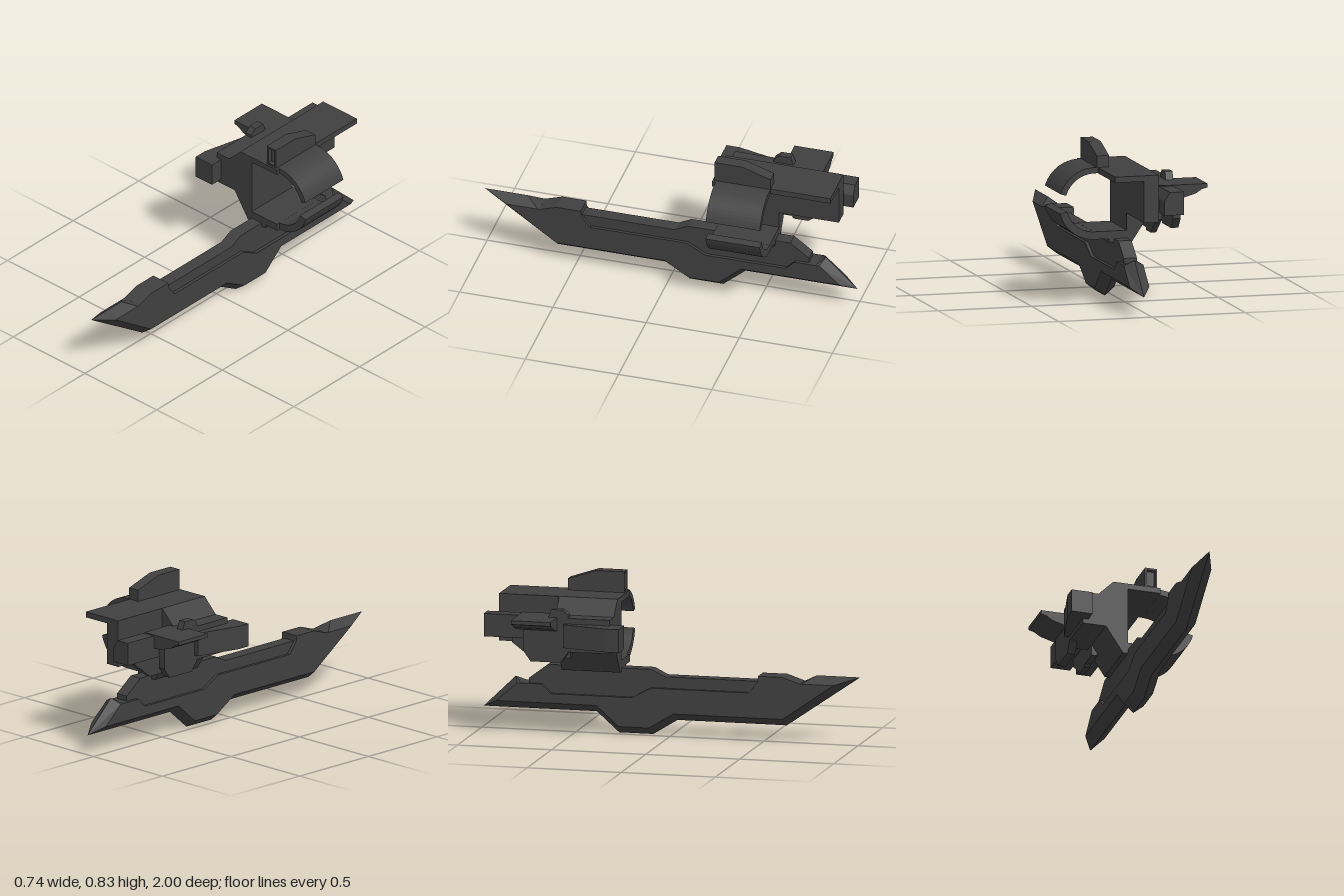
import * as THREE from 'three';

const material = new THREE.MeshStandardMaterial({ color: 0x404040, flatShading: true });

export function createModel() {
  const model = new THREE.Group();

  const add = (name, geometry) => {
    const mesh = new THREE.Mesh(geometry, material);
    mesh.name = name;
    model.add(mesh);
    return mesh;
  };
  const outline = (pts) => new THREE.Shape(pts.map(([a, b]) => new THREE.Vector2(a, b)));
  const extrude = (shape, depth) =>
    new THREE.ExtrudeGeometry(shape, { depth, bevelEnabled: false, curveSegments: 6 });

  // Prisms: front outline (x, y), side outline (z, y), plan outline (x, z)
  const alongZ = (name, pts, z0, z1) =>
    add(name, extrude(outline(pts), z1 - z0).translate(0, 0, z0));
  const alongX = (name, pts, x0, x1) =>
    add(name, extrude(outline(pts), x1 - x0).rotateY(-Math.PI / 2).translate(x1, 0, 0));
  const alongY = (name, pts, y0, y1) =>
    add(name, extrude(outline(pts.map(([x, z]) => [x, -z])), y1 - y0)
      .rotateX(-Math.PI / 2).translate(0, y0, 0));
  const box = (name, x0, x1, y0, y1, z0, z1) =>
    add(name, new THREE.BoxGeometry(x1 - x0, y1 - y0, z1 - z0)
      .translate((x0 + x1) / 2, (y0 + y1) / 2, (z0 + z1) / 2));

  // Blade: each row is side z, side y, then centre-line z, y where they differ
  const rows = [
    [0.87, 0.31, 1, 0.35], [0.7, 0.31, 0.77, 0.35], [0.69, 0.31], [0.6, 0.34],
    [0.47, 0.34], [0.468, 0.31], [0.42, 0.25], [-0.1, 0.25], [-0.2, 0.195],
    [-0.63, 0.195], [-0.68, 0.243], [-0.79, 0.243], [-0.81, 0.243, -0.83, 0.27],
    [-0.92, 0.145, -1, 0.105], [-0.39, 0.145, -0.4, 0.105], [-0.27, 0.04, -0.28, 0],
    [-0.11, 0.04, -0.1, 0], [0.02, 0.12, 0.03, 0.08], [0.6, 0.12, 0.61, 0.08],
  ];
  const midX = 0.043, half = 0.052;
  const sides = rows.map(([z, y]) => new THREE.Vector2(z, y));
  const faces = THREE.ShapeUtils.triangulateShape(sides, []);
  const verts = [];
  for (const s of [1, -1]) {
    const side = (i) => [midX + s * half, rows[i][1], rows[i][0]];
    const centre = (i) => [midX, rows[i][3] ?? rows[i][1], rows[i][2] ?? rows[i][0]];
    const tri = (a, b, c) => verts.push(...a, ...(s > 0 ? b : c), ...(s > 0 ? c : b));
    for (const [a, b, c] of faces) tri(side(a), side(c), side(b));
    rows.forEach((_, i) => {
      const j = (i + 1) % rows.length;
      tri(side(i), side(j), centre(j));
      tri(side(i), centre(j), centre(i));
    });
  }
  const blade = new THREE.BufferGeometry();
  blade.setAttribute('position', new THREE.Float32BufferAttribute(verts, 3));
  blade.computeVertexNormals();
  add('blade', blade);

  // Narrower spine rising out of the blade
  alongX('bladeSpine', [
    [0.48, 0.31], [-0.03, 0.31], [-0.1, 0.345], [-0.65, 0.345], [-0.75, 0.27],
    [-0.75, 0.17], [-0.2, 0.15], [0.48, 0.2],
  ], 0.008, 0.078);

  // C-shaped bracket with its lobe on the right
  alongZ('bracket', [
    [0.185, 0.72], [-0.07, 0.72], [-0.15, 0.64], [-0.235, 0.64], [-0.235, 0.463],
    [-0.11, 0.463], [-0.018, 0.325], [0.008, 0.325], [0.008, 0.345], [0.078, 0.345],
    [0.078, 0.325], [0.105, 0.325], [0.105, 0.345], [0.185, 0.345], [0.185, 0.385],
    [0.01, 0.385], [0.01, 0.69], [0.185, 0.69],
  ], -0.57, -0.26);

  // Curved clamp jaws
  const jaw = (name, from, to, inner) => {
    const outer = 0.1875, shape = new THREE.Shape();
    shape.absarc(0, 0, outer, from, to, to < from);
    shape.absarc(0, 0, inner, to, from, to > from);
    add(name, extrude(shape, 0.29).translate(0.185, 0.5325, -0.57));
  };
  jaw('upperJaw', Math.PI / 2, 0.305, 0.157);
  jaw('lowerJaw', -Math.PI / 2, -0.255, 0.148);

  // Rear cover: top plate and side wall
  alongZ('rearCover', [
    [0.165, 0.72], [-0.07, 0.72], [-0.07, 0.473], [0.01, 0.473], [0.01, 0.69], [0.165, 0.69],
  ], -0.89, -0.57);

  // Sight block on top, with a recessed front
  alongX('topBlock', [
    [-0.295, 0.72], [-0.295, 0.83], [-0.42, 0.83], [-0.57, 0.78], [-0.57, 0.72],
  ], 0.105, 0.17);
  const frame = outline([[0.105, 0.72], [0.17, 0.72], [0.17, 0.83], [0.105, 0.83]]);
  frame.holes.push(outline([[0.115, 0.73], [0.115, 0.82], [0.16, 0.82], [0.16, 0.73]]));
  add('topBlockFrame', extrude(frame, 0.025).translate(0, 0, -0.295));

  // Tapered block at the front of the lobe
  alongY('frontBlock', [
    [-0.318, -0.19], [-0.205, -0.19], [-0.205, -0.5], [-0.26, -0.5], [-0.318, -0.26],
  ], 0.488, 0.61);

  // Wing and the fin that crosses it
  alongZ('wing', [
    [-0.37, 0.64], [-0.37, 0.62], [-0.34, 0.612], [-0.31, 0.592], [-0.235, 0.57],
    [-0.12, 0.57], [-0.12, 0.64],
  ], -0.75, -0.54);
  alongX('crossFin', [
    [-0.48, 0.46], [-0.48, 0.655], [-0.51, 0.682], [-0.57, 0.682], [-0.59, 0.63],
    [-0.72, 0.63], [-0.72, 0.46], [-0.68, 0.405], [-0.52, 0.405],
  ], -0.235, -0.195);

  // Rear rod and the strut beneath it
  alongZ('rearRod', [
    [-0.19, 0.635], [-0.19, 0.515], [-0.085, 0.515], [-0.085, 0.59], [-0.115, 0.635],
  ], -0.94, -0.57);
  alongX('strut', [
    [-0.5, 0.405], [-0.61, 0.405], [-0.62, 0.39], [-0.7, 0.39], [-0.75, 0.43],
    [-0.81, 0.475], [-0.81, 0.53], [-0.5, 0.53],
  ], -0.11, -0.08);
  box('rodMount', -0.09, -0.06, 0.53, 0.58, -0.85, -0.57);

  return model;
}
